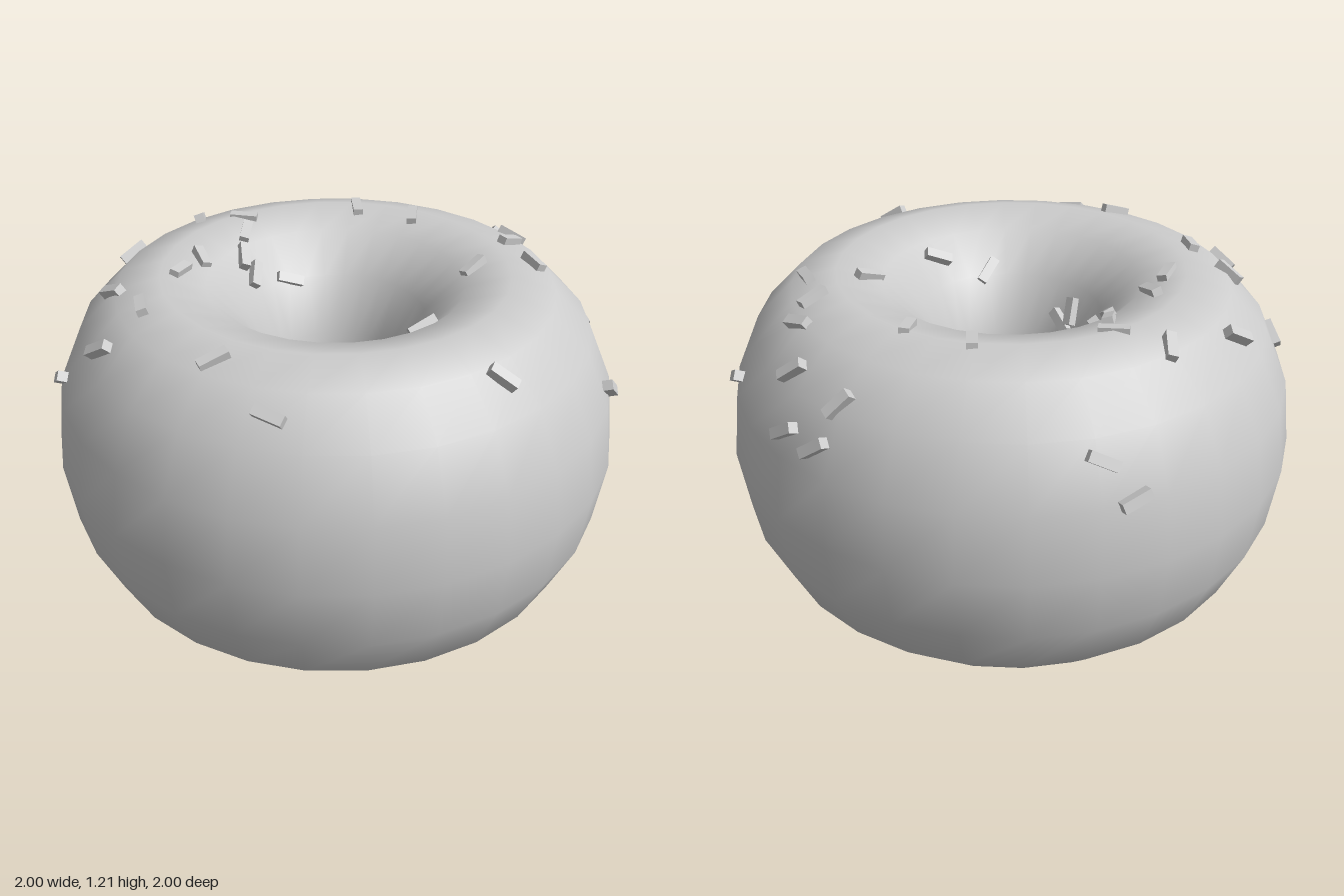
import * as THREE from 'three';

const RING = 0.6, TUBE_W = 0.4, TUBE_H = 0.6;

// Sprinkles as seen from above: x, z, direction dx, dz
const SPRINKLES = [
  [-0.51, -0.82, 16, -12], [-0.41, -0.82, 18, -4], [0.385, -0.775, 18, -6],
  [0.46, -0.82, 18, 4], [0.58, -0.74, 16, 7], [0.58, -0.625, 18, 2],
  [0.61, -0.46, 16, 10], [0.6, -0.34, 13, -16], [0.88, -0.37, 10, 15],
  [0.68, -0.17, 11, 17], [0.47, -0.12, 13, -15], [0.95, 0.135, 7, -16],
  [0.565, 0.555, 18, 2], [0.315, 0.225, 17, -9], [0.14, 0.295, 8, -14],
  [-0.195, 0.19, 2, -14], [-0.155, 0.2, 10, 12], [-0.105, 0.81, 18, 6],
  [-0.3, 0.63, 17, -10], [-0.715, 0.44, 16, 8], [-0.6, 0.32, 6, 18],
  [-0.915, 0.28, 9, 16], [-0.74, 0.165, 16, 12], [-0.53, 0.045, 5, -18],
  [-0.485, -0.085, 10, 17], [-0.775, -0.24, 16, -12], [-0.57, -0.46, 3, 19],
  [-0.37, -0.325, 0, 19], [-0.36, -0.205, 4, 17], [-0.315, -0.17, 1, 18],
  [-0.395, -0.43, 18, 0], [-0.2, -0.25, 18, -8], [0.02, -0.575, 4, 19],
  [0.235, -0.515, 0, 19],
];

export function createModel() {
  const group = new THREE.Group();
  group.name = 'doughnut';
  const grey = new THREE.MeshStandardMaterial({ color: 0xcccccc });
  grey.name = 'light grey';

  // Tall ring of dough: a torus stretched upwards
  const ring = new THREE.TorusGeometry(RING, TUBE_W, 16, 28);
  ring.rotateX(Math.PI / 2);
  ring.scale(1, TUBE_H / TUBE_W, 1);
  ring.translate(0, TUBE_H, 0);
  const dough = new THREE.Mesh(ring, grey);
  dough.name = 'dough';
  group.add(dough);

  // Sprinkles lie flat on the upper surface, turned to follow its slope
  const sprinkles = new THREE.Group();
  sprinkles.name = 'sprinkles';
  const bar = new THREE.BoxGeometry(0.1, 0.035, 0.035);
  for (const [x, z, dx, dz] of SPRINKLES) {
    const r = Math.hypot(x, z);
    const u = (r - RING) / TUBE_W;
    const v = Math.sqrt(Math.max(0, 1 - u * u));
    const out = u / TUBE_W;
    const normal = new THREE.Vector3(out * x / r, v / TUBE_H, out * z / r).normalize();
    // Direction along the surface that matches the heading seen from above
    const along = new THREE.Vector3(dx, -(dx * normal.x + dz * normal.z) / normal.y, dz).normalize();
    const across = new THREE.Vector3().crossVectors(along, normal);
    const sprinkle = new THREE.Mesh(bar, grey);
    sprinkle.name = 'sprinkle';
    sprinkle.quaternion.setFromRotationMatrix(new THREE.Matrix4().makeBasis(along, normal, across));
    // Sunk deeper along the crest than on the sloping sides
    const lift = -0.012 + 0.018 * Math.min(1, Math.abs(u) * 2);
    sprinkle.position.set(x, TUBE_H + TUBE_H * v, z).addScaledVector(normal, lift);
    sprinkles.add(sprinkle);
  }
  group.add(sprinkles);
  return group;
}
